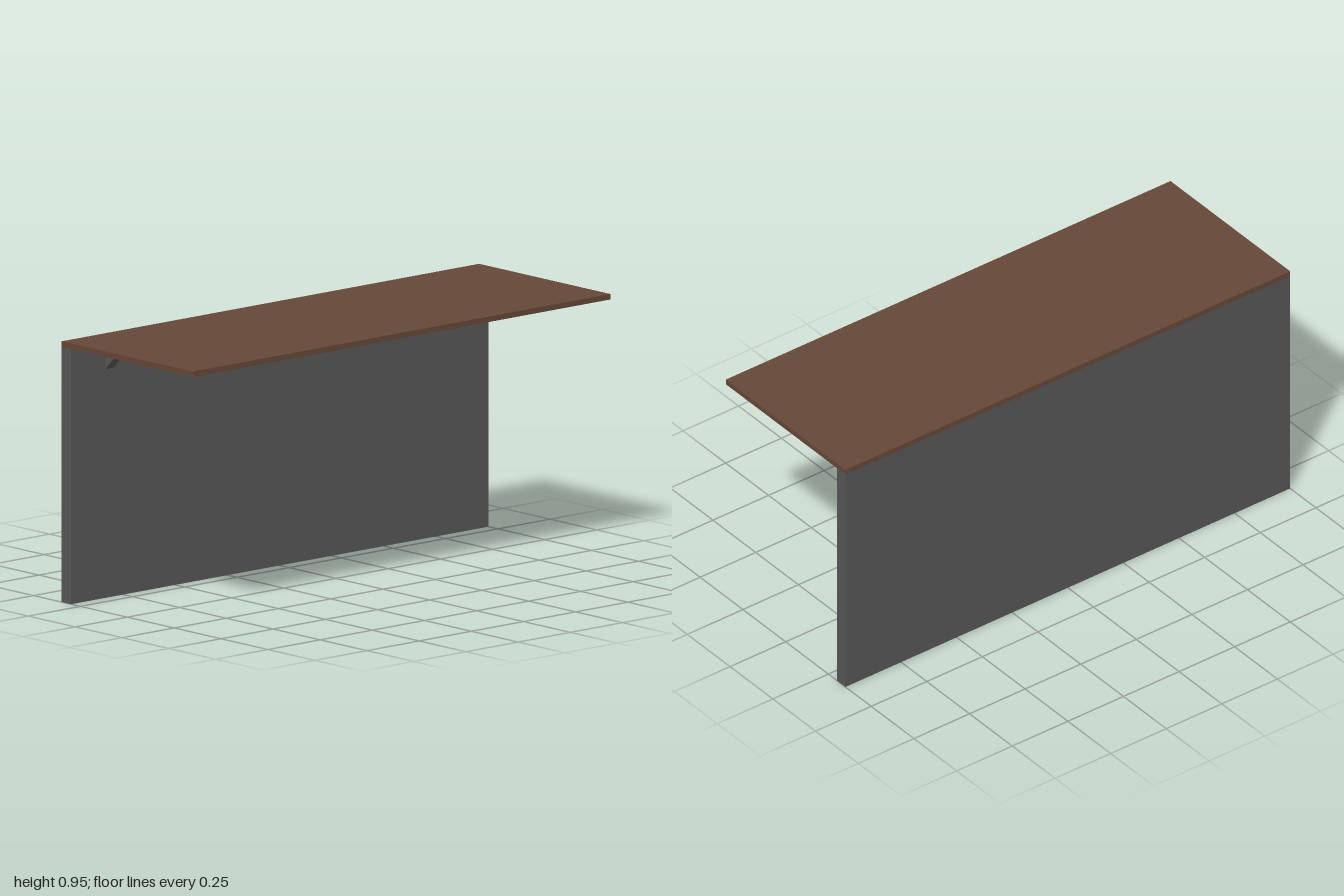
import * as THREE from 'three';

const wood = new THREE.MeshStandardMaterial({ name: 'brown wood', color: 0x654737 });
const panel = new THREE.MeshStandardMaterial({ name: 'dark grey panel', color: 0x565656 });

function box(name, material, w, h, d, x, y, z) {
  const mesh = new THREE.Mesh(new THREE.BoxGeometry(w, h, d), material);
  mesh.name = name;
  mesh.position.set(x, y, z);
  return mesh;
}

// Triangular gusset: profile drawn in (z, y), then turned to run along x
function bracketGeometry(width) {
  const shape = new THREE.Shape([
    new THREE.Vector2(-0.295, 0.835),
    new THREE.Vector2(-0.2, 0.93),
    new THREE.Vector2(-0.295, 0.93),
  ]);
  return new THREE.ExtrudeGeometry(shape, { depth: width, bevelEnabled: false })
    .translate(0, 0, -width / 2)
    .rotateY(-Math.PI / 2);
}

export function createModel() {
  const model = new THREE.Group();
  model.name = 'counter';

  // Overhanging top and the upright wall at its back edge
  model.add(box('counterTop', wood, 2, 0.02, 0.7, 0, 0.94, 0));
  model.add(box('backPanel', panel, 2, 0.93, 0.05, 0, 0.465, -0.325));

  // Support brackets under the top
  const geometry = bracketGeometry(0.04);
  for (const [side, name] of [[1, 'leftBracket'], [-1, 'rightBracket']]) {
    const bracket = new THREE.Mesh(geometry, panel);
    bracket.name = name;
    bracket.position.x = side * 0.82;
    model.add(bracket);
  }
  return model;
}
